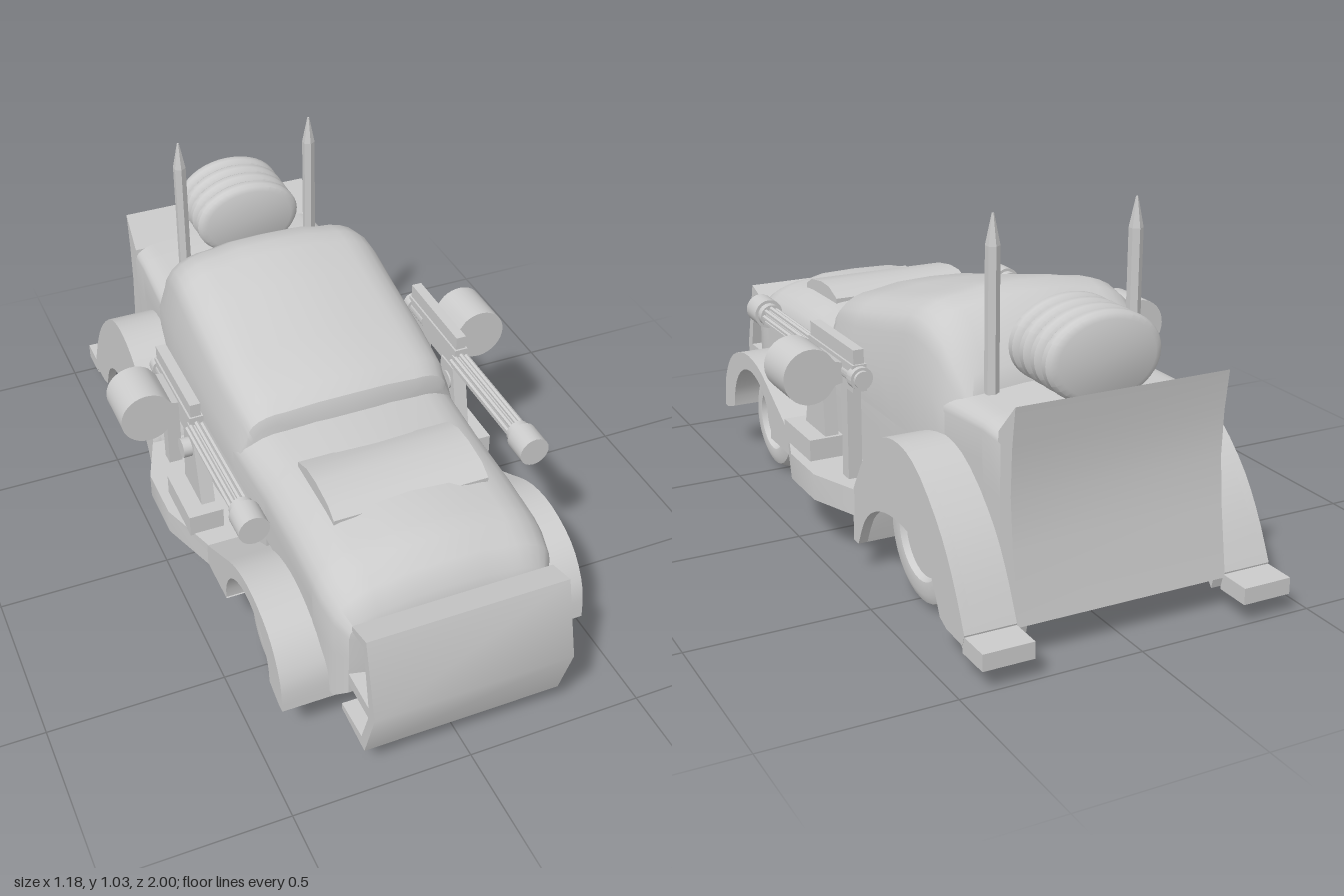
import * as THREE from 'three';
import { toCreasedNormals } from 'three/addons/utils/BufferGeometryUtils.js';

const grey = new THREE.MeshStandardMaterial({ color: 0xcccccc, side: THREE.DoubleSide });

function add(parent, name, geometry, x = 0, y = 0, z = 0) {
  const mesh = new THREE.Mesh(toCreasedNormals(geometry, 0.6), grey);
  mesh.name = name;
  mesh.position.set(x, y, z);
  parent.add(mesh);
  return mesh;
}

const toShape = (pts) => new THREE.Shape(pts.map(([a, b]) => new THREE.Vector2(a, b)));
const extrude = (shape, depth) =>
  new THREE.ExtrudeGeometry(shape, { depth, bevelEnabled: false, curveSegments: 16 });

// side profile of (z, y) points, extruded from x0 to x1
const sideExtrude = (shape, x0, x1) =>
  extrude(shape, Math.abs(x1 - x0)).rotateY(-Math.PI / 2).translate(Math.max(x0, x1), 0, 0);

// cylinder lying along z
const rodZ = (r, length, sides = 20) => new THREE.CylinderGeometry(r, r, length, sides).rotateX(Math.PI / 2);

// points of an arc, angles in degrees
function arc(cz, cy, r, from, to, n = 16) {
  return Array.from({ length: n + 1 }, (_, i) => {
    const a = THREE.MathUtils.degToRad(from + ((to - from) * i) / n);
    return [cz + r * Math.cos(a), cy + r * Math.sin(a)];
  });
}

// smooth points through a few (z, y) control points
const smooth = (pts, n = 20) =>
  new THREE.SplineCurve(pts.map(([a, b]) => new THREE.Vector2(a, b))).getPoints(n).map((p) => [p.x, p.y]);

// closed cross-section: flat floor, optional wheel-well step, rounded crown
function section({ z, w, wt = w, b, t, r, wb = w, s = b + 0.01, bow = 0 }) {
  const half = [[wb, b], [wb, s], [w, s], [w, s + (t - r - s) * 0.6]];
  for (let i = 0; i <= 6; i++) {
    const a = (i / 6) * Math.PI / 2;
    half.push([wt - 1.3 * r * (1 - Math.cos(a)), t - 0.015 - (r - 0.015) * (1 - Math.sin(a))]);
  }
  half.push([wt * 0.35, t - 0.003]);
  const ring = [[0, b], ...half, [0, t], ...half.slice().reverse().map(([x, y]) => [-x, y])];
  return ring.map(([x, y]) => [x, y, z + bow * (1 - (x / w) ** 2)]);
}

// skin a row of sections running from front to back, with end caps
function loft(stations) {
  const rings = stations.map(section), n = rings[0].length, pos = [];
  const tri = (...p) => p.forEach((v) => pos.push(...v));
  for (let i = 0; i < rings.length - 1; i++) {
    for (let j = 0; j < n; j++) {
      const k = (j + 1) % n, A = rings[i], B = rings[i + 1];
      tri(A[j], B[j], A[k]);
      tri(A[k], B[j], B[k]);
    }
  }
  [[rings[0], stations[0], false], [rings.at(-1), stations.at(-1), true]].forEach(([ring, st, back]) => {
    const mid = [0, (st.b + st.t) / 2, st.z + (st.bow || 0)];
    for (let j = 0; j < n; j++) {
      const k = (j + 1) % n;
      back ? tri(mid, ring[k], ring[j]) : tri(mid, ring[j], ring[k]);
    }
  });
  const g = new THREE.BufferGeometry();
  g.setAttribute('position', new THREE.Float32BufferAttribute(pos, 3));
  return g;
}

function wheelGeometry(R, hub) {
  const half = [[0, 0.05], [hub, 0.05], [hub + 0.008, 0.066], [R - 0.04, 0.07], [R - 0.015, 0.06], [R - 0.003, 0.035]];
  const pts = [...half.map(([r, y]) => [r, -y]), [R, 0], ...half.reverse()];
  return new THREE.LatheGeometry(pts.map(([r, y]) => new THREE.Vector2(r, y)), 32).rotateZ(Math.PI / 2);
}

function buildGun(s) {
  const gun = new THREE.Group();
  gun.name = s > 0 ? 'leftGun' : 'rightGun';
  const x = 0.405 * s, y = 0.53;
  add(gun, 'muzzle', rodZ(0.043, 0.075), x, y, 0.482);
  add(gun, 'muzzleCollar', rodZ(0.034, 0.03), x, y, 0.435);
  add(gun, 'barrelCore', rodZ(0.02, 0.4), x, y, 0.25);
  for (let i = 0; i < 8; i++) {
    const a = (i / 8) * Math.PI * 2;
    add(gun, 'barrelRod', rodZ(0.007, 0.38, 6), x + 0.023 * Math.cos(a), y + 0.023 * Math.sin(a), 0.25);
  }
  add(gun, 'receiver', new THREE.BoxGeometry(0.04, 0.075, 0.31), x, 0.535, -0.08);
  add(gun, 'topRail', new THREE.BoxGeometry(0.03, 0.04, 0.3), x, 0.593, -0.08);
  add(gun, 'breech', rodZ(0.024, 0.12), x, 0.537, -0.2);
  add(gun, 'breechCap', rodZ(0.032, 0.03), x, 0.537, -0.235);
  // ammunition drum with a neck towards the receiver
  const drum = [[0.4, 0.51], [0.445, 0.5], ...arc(0.515, 0.533, 0.077, -130, 130, 24), [0.445, 0.566], [0.4, 0.556]];
  add(gun, 'ammoDrum', extrude(toShape(drum.map(([a, b]) => [a * s, b])), 0.145).translate(0, 0, -0.165));
  // pedestal
  add(gun, 'pedestalBase', new THREE.BoxGeometry(0.1, 0.065, 0.195), 0.42 * s, 0.267, 0.068);
  const bracket = toShape([[0.125, 0.3], [-0.02, 0.3], [0, 0.51], [0.075, 0.51]]);
  add(gun, 'pedestalBracket', sideExtrude(bracket, 0.38 * s, 0.42 * s));
  add(gun, 'pivotBolt', new THREE.CylinderGeometry(0.028, 0.028, 0.07, 16).rotateZ(Math.PI / 2), 0.41 * s, 0.453, 0.045);
  add(gun, 'rearPost', new THREE.BoxGeometry(0.04, 0.28, 0.04), x, 0.375, -0.175);
  return gun;
}

function buildSide(s) {
  const side = new THREE.Group();
  side.name = s > 0 ? 'leftSide' : 'rightSide';

  // front fender sweeping into the running board
  const front = [
    ...smooth([[0.785, 0.14], [0.77, 0.24], [0.7, 0.33], [0.58, 0.372], [0.46, 0.36], [0.34, 0.3], [0.22, 0.235]]),
    [0.22, 0.165], [0.37, 0.165], ...arc(0.53, 0.163, 0.165, 180, 0), [0.76, 0.14],
  ];
  add(side, 'frontFender', sideExtrude(toShape(front), 0.27 * s, 0.44 * s));
  const board = [[0.2, 0.3], [0.43, 0.3], [0.44, 0.22], [0.497, 0.05], [0.497, -0.12], [0.44, -0.27], [0.2, -0.34]];
  const boardShape = toShape(board.map(([x, z]) => [x * s, z]));
  add(side, 'runningBoard', extrude(boardShape, 0.075).rotateX(Math.PI / 2).translate(0, 0.238, 0));

  // rear fender: hollow arch with an outer skirt over the wheel
  const crown = smooth([[-0.26, 0.235], [-0.34, 0.36], [-0.43, 0.44], [-0.54, 0.468], [-0.65, 0.44],
    [-0.77, 0.34], [-0.85, 0.23], [-0.91, 0.11]]);
  const arch = [...crown, [-0.9, 0.07], [-0.8, 0.2], ...arc(-0.53, 0.195, 0.215, 180, 0),
    [-0.29, 0.09], [-0.26, 0.09]];
  add(side, 'rearFender', sideExtrude(toShape(arch), 0.27 * s, 0.44 * s));
  const skirt = [...crown, [-0.9, 0.08], [-0.815, 0.085],
    ...smooth([[-0.78, 0.1], [-0.73, 0.19], [-0.65, 0.24], [-0.53, 0.256], [-0.42, 0.235], [-0.34, 0.18], [-0.29, 0.09]]),
    [-0.26, 0.09]];
  add(side, 'rearFenderSkirt', sideExtrude(toShape(skirt), 0.415 * s, 0.441 * s));
  add(side, 'rearFoot', new THREE.BoxGeometry(0.14, 0.045, 0.1), 0.37 * s, 0.083, -0.95);

  add(side, 'frontWheel', wheelGeometry(0.155, 0.085), 0.31 * s, 0.16, 0.53);
  add(side, 'rearWheel', wheelGeometry(0.19, 0.11), 0.31 * s, 0.195, -0.53);

  // upright spike
  add(side, 'spikeShaft', new THREE.CylinderGeometry(0.019, 0.019, 0.38, 6), 0.205 * s, 0.765, -0.597);
  add(side, 'spikeTip', new THREE.CylinderGeometry(0.003, 0.019, 0.08, 6), 0.205 * s, 0.995, -0.597);
  side.add(buildGun(s));
  return side;
}

export function createModel() {
  const car = new THREE.Group();
  car.name = 'armouredCar';

  // lower body with wheel wells stepped into the floor
  const well = { wb: 0.22, s: 0.34 };
  add(car, 'lowerBody', loft([
    { z: 0.852, w: 0.23, b: 0.28, t: 0.43, r: 0.05 },
    { z: 0.84, w: 0.28, b: 0.2, t: 0.475, r: 0.08 },
    { z: 0.8, w: 0.305, b: 0.16, t: 0.525, r: 0.11 },
    { z: 0.74, w: 0.316, b: 0.16, t: 0.552, r: 0.12 },
    { z: 0.7, w: 0.318, b: 0.16, t: 0.562, r: 0.12 },
    { z: 0.69, w: 0.318, b: 0.16, t: 0.564, r: 0.12, ...well },
    { z: 0.55, w: 0.318, b: 0.16, t: 0.58, r: 0.12, ...well },
    { z: 0.37, w: 0.318, b: 0.16, t: 0.58, r: 0.11, ...well },
    { z: 0.36, w: 0.318, b: 0.16, t: 0.58, r: 0.11 },
    { z: 0.2, w: 0.325, b: 0.16, t: 0.575, r: 0.1 },
    { z: 0, w: 0.337, b: 0.16, t: 0.58, r: 0.08 },
    { z: -0.3, w: 0.335, b: 0.16, t: 0.59, r: 0.07 },
    { z: -0.33, w: 0.333, b: 0.16, t: 0.59, r: 0.07, ...well },
    { z: -0.55, w: 0.31, b: 0.16, t: 0.59, r: 0.06, ...well },
    { z: -0.73, w: 0.302, b: 0.16, t: 0.59, r: 0.05, ...well },
    { z: -0.74, w: 0.302, b: 0.16, t: 0.59, r: 0.05 },
    { z: -0.82, w: 0.3, b: 0.16, t: 0.585, r: 0.05 },
  ]));

  // cabin: [z, half width, roof height, corner radius, forward bow]
  add(car, 'cabin', loft([
    [0.195, 0.31, 0.605, 0.07, 0.03], [0.185, 0.32, 0.635, 0.08, 0.03], [0.14, 0.33, 0.665, 0.09, 0.03],
    [0, 0.337, 0.7, 0.1, 0.01], [-0.2, 0.337, 0.75, 0.11, 0], [-0.32, 0.336, 0.78, 0.11, 0],
    [-0.37, 0.334, 0.786, 0.11, 0], [-0.43, 0.33, 0.775, 0.11, 0], [-0.485, 0.322, 0.74, 0.1, 0],
    [-0.53, 0.315, 0.69, 0.09, 0], [-0.565, 0.305, 0.64, 0.07, 0], [-0.59, 0.295, 0.595, 0.05, 0],
  ].map(([z, w, t, r, bow]) => ({ z, w, wt: w - 0.022, b: 0.42, t, r, bow }))));

  // raised hood panel
  const scoop = toShape([[0.6, 0.565], [0.56, 0.588], [0.48, 0.6], [0.42, 0.598], [0.36, 0.575], [0.36, 0.54], [0.6, 0.54]]);
  add(car, 'hoodScoop', sideExtrude(scoop, -0.22, 0.22));

  // front ram with folded lips and mounting shelf
  const ram = toShape([[0.94, 0.48], [0.855, 0.455], [0.858, 0.438], [0.925, 0.45], [0.963, 0.27], [0.81, 0.27],
    [0.81, 0.235], [0.963, 0.235], [0.925, 0.125], [0.8, 0.118], [0.8, 0.1], [0.945, 0.09], [1, 0.26]]);
  add(car, 'frontRam', sideExtrude(ram, -0.28, 0.28));

  // rear armour plate
  const plate = toShape([[-0.89, 0.65], [-0.81, 0.565], [-0.8, 0.45], [-0.81, 0.2], [-0.89, 0.1], [-0.915, 0.1],
    [-0.885, 0.29], [-0.872, 0.42], [-0.876, 0.54]]);
  add(car, 'rearPlate', sideExtrude(plate, -0.3, 0.3));

  // ribbed oval tank on the rear deck
  const tank = [[0, -0.108]];
  for (let i = 0; i < 4; i++) {
    const y = -0.108 + i * 0.054;
    tank.push([0.84, y], [0.95, y + 0.007], [1, y + 0.018], [1, y + 0.036], [0.95, y + 0.047], [0.84, y + 0.054]);
  }
  tank.push([0, 0.108]);
  const tankGeo = new THREE.LatheGeometry(tank.map(([r, y]) => new THREE.Vector2(r, y)), 40);
  add(car, 'rearTank', tankGeo.rotateX(Math.PI / 2).scale(0.163, 0.117, 1), 0.018, 0.708, -0.727);

  // axles
  [[0.16, 0.53], [0.195, -0.53]].forEach(([y, z]) =>
    add(car, 'axle', new THREE.CylinderGeometry(0.025, 0.025, 0.6, 12).rotateZ(Math.PI / 2), 0, y, z));

  car.add(buildSide(1), buildSide(-1));
  return car;
}
